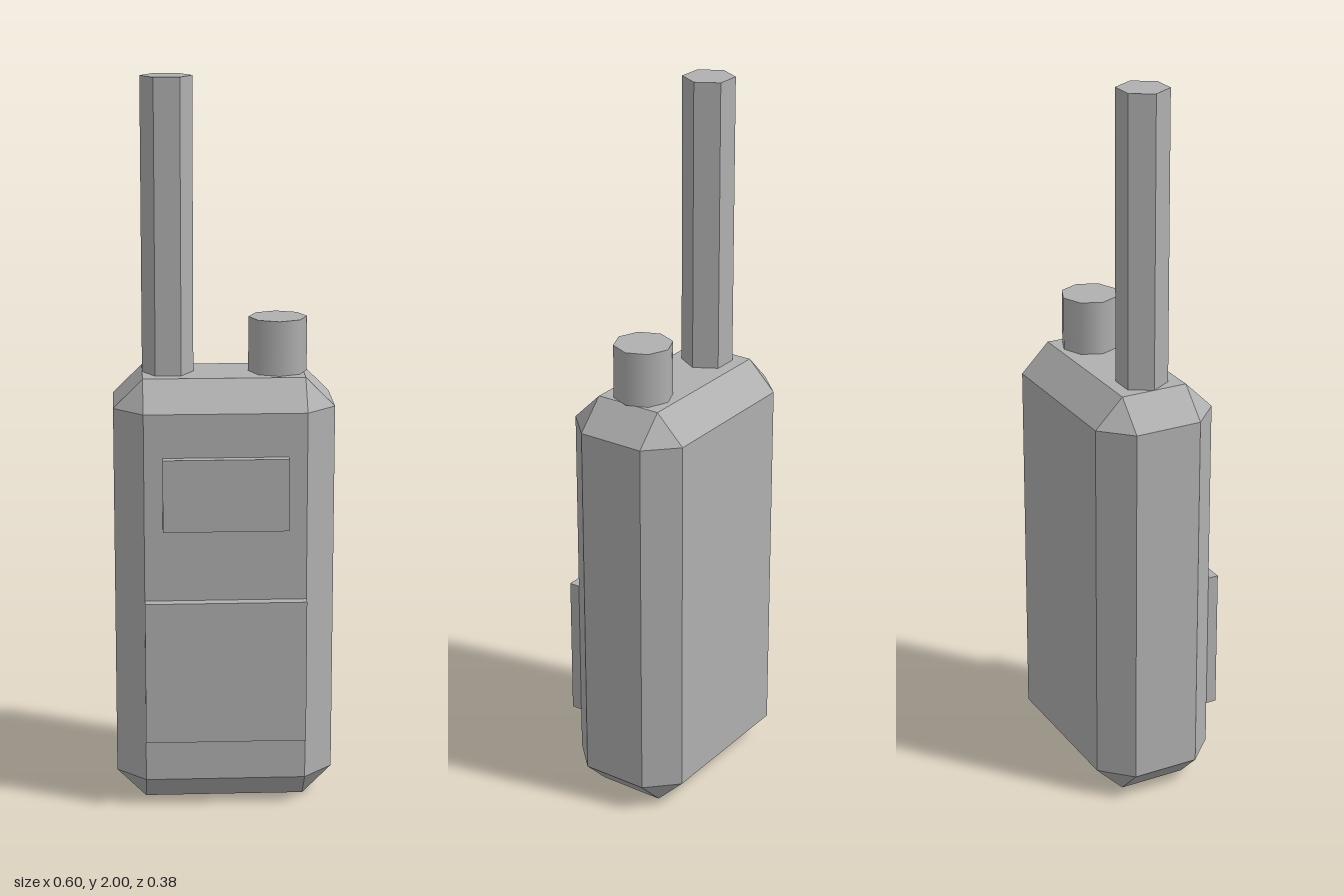
import * as THREE from 'three';
import { ConvexGeometry } from 'three/addons/geometries/ConvexGeometry.js';

// Box with every edge cut at 45 degrees and a triangle at every corner
function chamferedBox(w, h, d, c) {
  const points = [];
  for (const sx of [-1, 1]) for (const sy of [-1, 1]) for (const sz of [-1, 1]) {
    const x = w / 2, y = h / 2, z = d / 2;
    points.push(
      new THREE.Vector3(sx * x, sy * (y - c), sz * (z - c)),
      new THREE.Vector3(sx * (x - c), sy * y, sz * (z - c)),
      new THREE.Vector3(sx * (x - c), sy * (y - c), sz * z)
    );
  }
  return new ConvexGeometry(points);
}

// Separate faces so that each side is shaded flat
function faceted(geometry) {
  const flat = geometry.toNonIndexed();
  flat.computeVertexNormals();
  return flat;
}

export function createModel() {
  const group = new THREE.Group();
  group.name = 'handheldRadio';
  const grey = new THREE.MeshStandardMaterial({ color: 0xb0b0b0 });
  grey.name = 'grey';

  const add = (name, geometry, x, y, z) => {
    const mesh = new THREE.Mesh(geometry, grey);
    mesh.name = name;
    mesh.position.set(x, y, z);
    group.add(mesh);
  };

  const bodyZ = -0.015;
  add('body', chamferedBox(0.6, 1.2, 0.35, 0.08), 0, 0.6, bodyZ);

  // Raised panels on the front face
  add('screen', new THREE.BoxGeometry(0.34, 0.2, 0.025), 0, 0.9, 0.1725);
  add('speakerPanel', new THREE.BoxGeometry(0.44, 0.4, 0.03), 0, 0.4, 0.175);

  // Six-sided antenna with corners pointing left and right
  const antenna = new THREE.CylinderGeometry(0.07, 0.07, 0.8, 6).rotateY(Math.PI / 6);
  add('antenna', faceted(antenna), -0.15, 1.6, bodyZ);

  // Smooth-sided dial
  add('knob', new THREE.CylinderGeometry(0.08, 0.08, 0.15, 8), 0.15, 1.275, bodyZ);

  return group;
}
